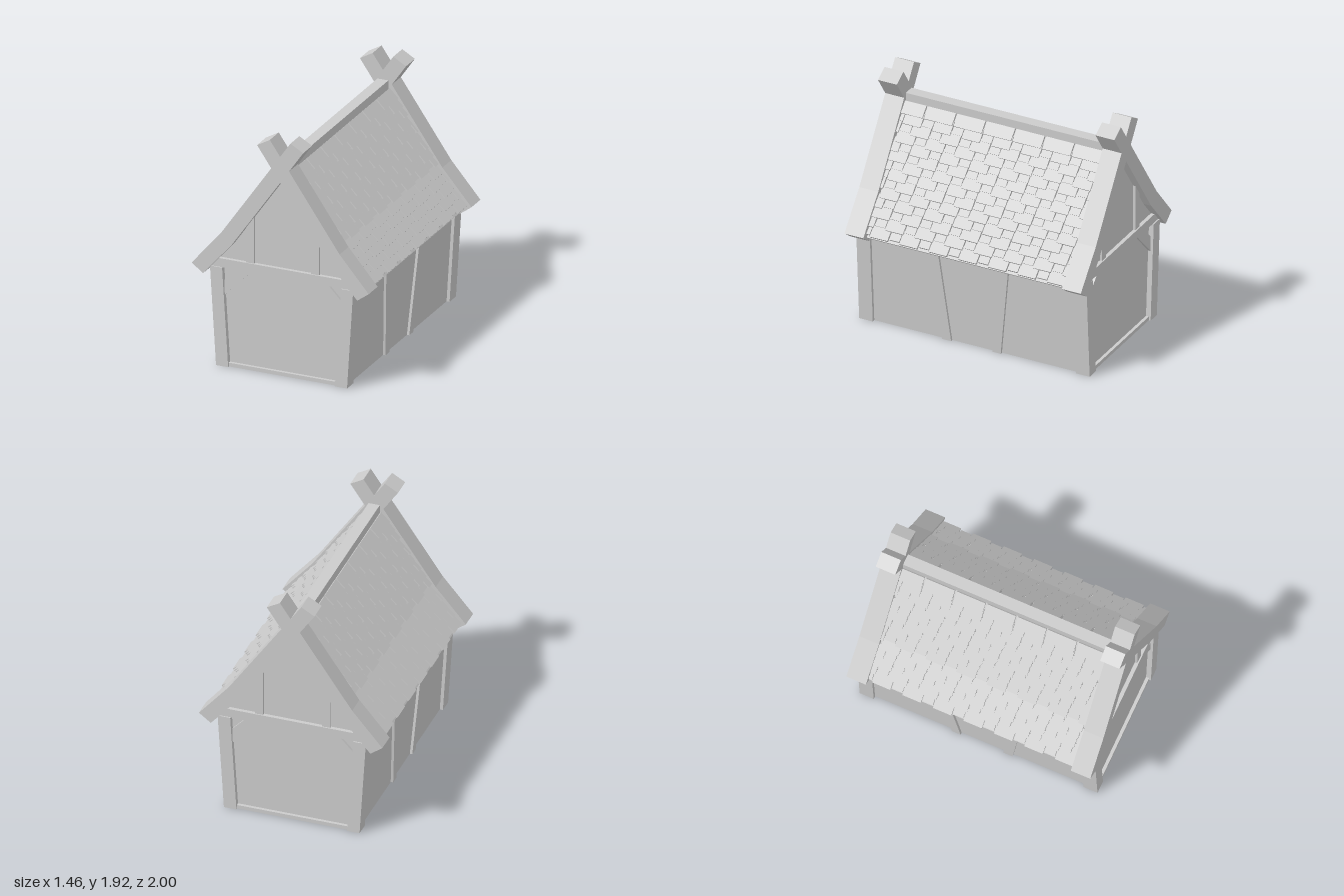
import * as THREE from 'three';
import { mergeGeometries } from 'three/addons/utils/BufferGeometryUtils.js';

const LEAN = 0.0625; // outward lean of the walls per unit of height

export function createModel() {
  const root = new THREE.Group();
  const mat = new THREE.MeshStandardMaterial({ color: 0xcccccc, flatShading: true });

  const add = (name, geo, parent = root) => {
    const m = new THREE.Mesh(geo, mat);
    m.name = name;
    parent.add(m);
    return m;
  };
  // Outline in the x-y plane, pulled from z0 to z1
  const prism = (pts, z0, z1) =>
    new THREE.ExtrudeGeometry(new THREE.Shape(pts.map(p => new THREE.Vector2(p[0], p[1]))),
      { depth: z1 - z0, bevelEnabled: false }).translate(0, 0, z0);
  const flip = (pts, s) => pts.map(([x, y]) => [s * x, y]);
  // Closed outline from its right half
  const symmetric = half => [...half, ...flip(half, -1).reverse()];
  // Upright box sheared by dx, dz per unit of height
  const leaningBox = (x0, x1, y0, y1, z0, z1, dx, dz) => {
    const g = new THREE.BoxGeometry(Math.abs(x1 - x0), y1 - y0, z1 - z0)
      .translate((x0 + x1) / 2, (y0 + y1) / 2, (z0 + z1) / 2);
    const p = g.attributes.position;
    for (let i = 0; i < p.count; i++) {
      p.setX(i, p.getX(i) + dx * p.getY(i));
      p.setZ(i, p.getZ(i) + dz * p.getY(i));
    }
    g.computeVertexNormals();
    return g;
  };

  // Gable ends: the back is the front turned round
  for (const end of ['front', 'back']) {
    const g = new THREE.Group();
    g.name = end + 'Gable';
    if (end === 'back') g.rotation.y = Math.PI;
    root.add(g);
    add('gableWall', prism(symmetric(
      [[0.5, 0.01], [0.555, 0.88], [0.44, 1.03], [0.01, 1.63]]), 0.915, 0.935), g);
    add('sill', new THREE.BoxGeometry(0.94, 0.03, 0.1).translate(0, 0.016, 0.91), g);
    add('tieBeam', prism(symmetric([[0.59, 0.8], [0.53, 0.87]]), 0.865, 0.965), g);
    for (const s of [1, -1]) {
      add('cornerPost', leaningBox(s * 0.44, s * 0.54, 0, 0.8, 0.86, 0.975, s * LEAN, 0), g);
      add('gablePost', prism(flip(
        [[0.235, 0.86], [0.3, 0.86], [0.3, 1.18], [0.235, 1.28]], s), 0.89, 0.955), g);
      add('cornerBrace', prism(flip(
        [[0.25, 0.81], [0.37, 0.81], [0.48, 0.695], [0.48, 0.57]], s), 0.89, 0.955), g);
      // Bent barge board that crosses its twin above the ridge
      add('bargeBoard', prism(flip(
        [[0.73, 0.81], [0.49, 1.09], [-0.085, 1.92], [-0.19, 1.86],
          [0, 1.585], [0.4, 1.01], [0.635, 0.74]], s), 0.84, 1), g);
    }
  }

  // Long side walls with two posts leaning apart
  for (const s of [1, -1]) {
    const side = s > 0 ? 'left' : 'right';
    add(side + 'Wall', leaningBox(s * 0.495, s * 0.515, 0, 0.87, -0.9, 0.9, s * LEAN, 0));
    for (const [z0, z1, dz] of [[0.2, 0.275, 0.115], [-0.22, -0.15, -0.115]])
      add(side + 'WallPost', leaningBox(s * 0.45, s * 0.535, 0, 0.83, z0, z1, s * LEAN, dz));
  }

  // Roof deck following the bent slope, and the ridge beam
  const slope = [[0.675, 0.79], [0.455, 1.063], [0.035, 1.66]];
  add('roofDeck', prism([
    ...slope, ...flip(slope, -1).reverse(),
    [-0.65, 0.77], [-0.43, 1.04], [0, 1.645], [0.43, 1.04], [0.65, 0.77],
  ], -0.85, 0.85));
  add('ridgeBeam', new THREE.BoxGeometry(0.09, 0.07, 1.7).translate(0, 1.685, 0));

  // Shingles: overlapping rows of wide and narrow tiles
  const tiles = [];
  const rows = 14, pitch = 0.25, edge = 0.845;
  const pointAt = y => {
    const [a, b] = y < slope[1][1] ? [slope[0], slope[1]] : [slope[1], slope[2]];
    const t = (y - a[1]) / (b[1] - a[1]);
    return { x: a[0] + (b[0] - a[0]) * t, angle: Math.atan2(a[1] - b[1], a[0] - b[0]) };
  };
  const tile = (y, z0, z1, length, lift) => {
    z0 = Math.max(z0, -edge);
    z1 = Math.min(z1, edge);
    if (z1 - z0 < 0.015) return;
    const { x, angle } = pointAt(y);
    // Pivot at the lower end, which is raised above the row below
    tiles.push(new THREE.BoxGeometry(length, 0.02, z1 - z0)
      .translate(-length / 2, 0, 0)
      .rotateZ(angle + 0.16)
      .translate(x - Math.sin(angle) * lift, y + Math.cos(angle) * lift, (z0 + z1) / 2));
  };
  for (let r = 0; r < rows; r++) {
    const y = 0.795 + r * 0.0595;
    const top = r === rows - 1;
    const shift = top ? 0 : (r % 2) * 0.125 + (r % 3) * 0.02;
    for (let k = -1; k < 8; k++) {
      const z = -edge + k * pitch + shift;
      if (top) tile(y, z + 0.005, z + pitch - 0.01, 0.1, 0.024);
      else {
        tile(y, z, z + 0.15, 0.11, 0.024);
        tile(y + 0.012, z + 0.158, z + 0.242, 0.095, 0.017);
      }
    }
  }
  const shingles = mergeGeometries(tiles);
  add('leftShingles', shingles);
  add('rightShingles', shingles).rotation.y = Math.PI;

  return root;
}
